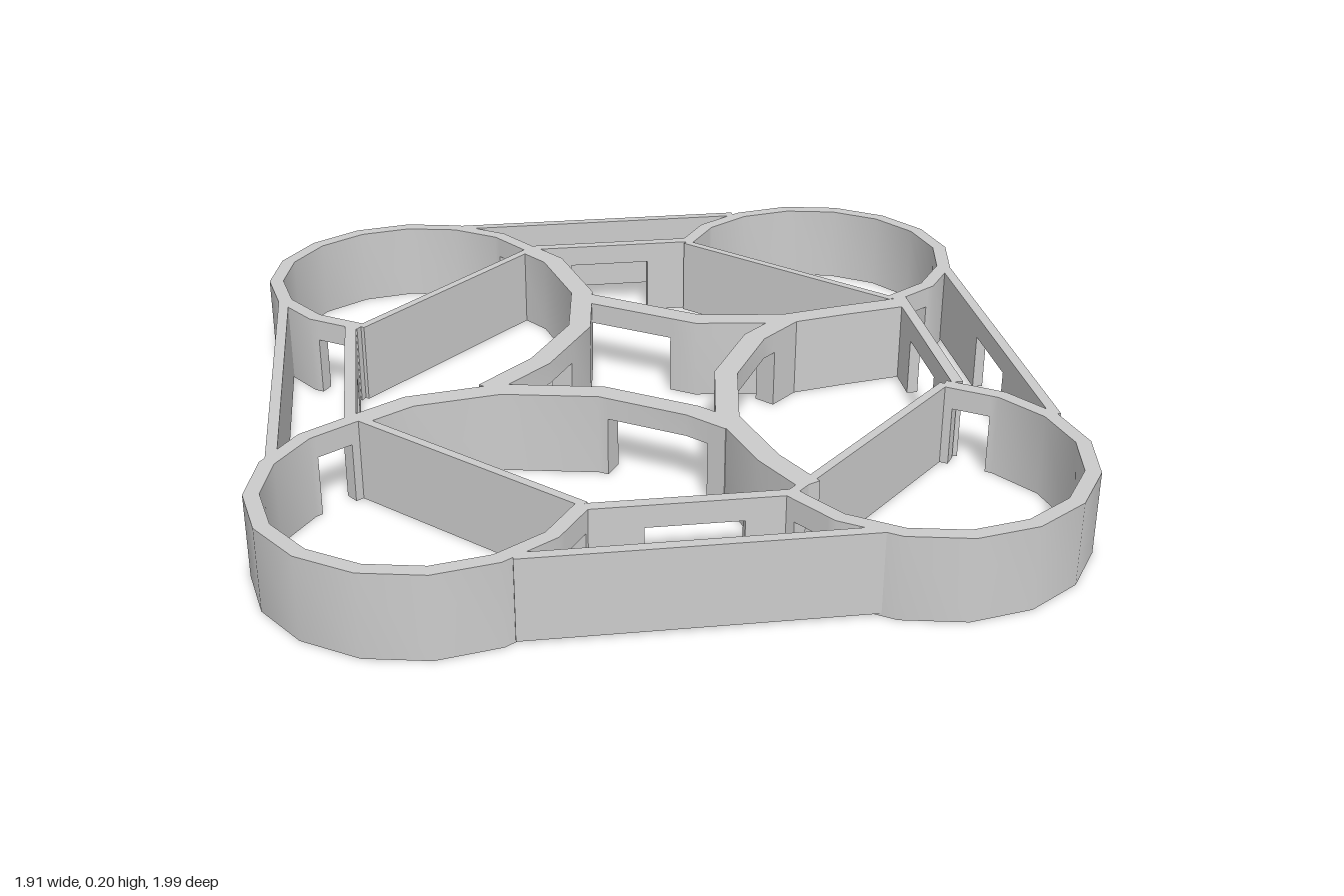
import * as THREE from 'three';
import { mergeGeometries, toCreasedNormals } from 'three/addons/utils/BufferGeometryUtils.js';

const HEIGHT = 0.205;
const NOTCH_TOP = 0.15;
const grey = new THREE.MeshStandardMaterial({ color: 0xcccccc });

// Offsets a plan polyline by d to one side with mitred corners
function offsetLine(pts, d) {
  return pts.map((p, i) => {
    const a = pts[Math.max(i - 1, 0)], b = pts[Math.min(i + 1, pts.length - 1)];
    const u = (i > 0 ? p.clone().sub(a) : b.clone().sub(p)).normalize();
    const v = (i < pts.length - 1 ? b.clone().sub(p) : p.clone().sub(a)).normalize();
    const n = new THREE.Vector2(-u.y - v.y, u.x + v.x).normalize();
    return p.clone().addScaledVector(n, d / (-n.x * u.y + n.y * u.x));
  });
}

// Splits a polyline where its x or z coordinate crosses the given value
function splitAt(pts, axis, value) {
  const out = [];
  pts.forEach((p, i) => {
    out.push(p);
    const q = pts[i + 1];
    if (q && (p[axis] - value) * (q[axis] - value) < 0) {
      out.push(p.clone().lerp(q, (value - p[axis]) / (q[axis] - p[axis])));
    }
  });
  return out;
}

// Upright wall along a plan path; segments for which isLow is true are cut out below
function wall(name, pts, thickness, isLow = () => false, bottom = 0) {
  const left = offsetLine(pts, thickness / 2), right = offsetLine(pts, -thickness / 2);
  const low = pts.slice(1).map((p, i) => isLow(p.clone().lerp(pts[i], 0.5), i));
  const runs = [];
  for (let i = 0; i < low.length;) {
    let j = i + 1;
    while (j < low.length && low[j] === low[i]) j++;
    const outline = [...left.slice(i, j + 1), ...right.slice(i, j + 1).reverse()];
    const y0 = low[i] ? NOTCH_TOP : bottom;
    const shape = new THREE.Shape(outline.map((p) => new THREE.Vector2(p.x, -p.y)));
    const geo = new THREE.ExtrudeGeometry(shape, { depth: HEIGHT - y0, bevelEnabled: false });
    runs.push(geo.rotateX(-Math.PI / 2).translate(0, y0, 0));
    i = j;
  }
  const mesh = new THREE.Mesh(toCreasedNormals(mergeGeometries(runs), 0.6), grey);
  mesh.name = name;
  return mesh;
}

// Wall with a central cable notch across the named plan axis
function notchedWall(name, pts, thickness, axis, bottom) {
  const split = splitAt(splitAt(pts, axis, -0.105), axis, 0.115);
  return wall(name, split, thickness, (m) => m[axis] > -0.105 && m[axis] < 0.115, bottom);
}

const path = (...xz) => xz.map(([x, z]) => new THREE.Vector2(x, z));

export function createModel() {
  const model = new THREE.Group();

  // Four open rings, each closed on the inside by a thin diagonal wall
  const rings = [
    ['BackRight', -0.56, -0.613], ['BackLeft', 0.567, -0.605],
    ['FrontLeft', 0.557, 0.605], ['FrontRight', -0.572, 0.593],
  ];
  for (const [name, x, z] of rings) {
    const outward = Math.atan2(Math.sign(z), Math.sign(x));
    const arc = [];
    for (let i = 0; i <= 10; i++) {
      const a = outward + (i - 5) * Math.PI / 8;
      arc.push(new THREE.Vector2(x + 0.368 * Math.cos(a), z + 0.368 * Math.sin(a)));
    }
    // small notches beside both ends of the arc
    const cut = (a, b, t) => a.clone().lerp(b, t);
    const pts = [arc[0], cut(arc[0], arc[1], 0.2), cut(arc[0], arc[1], 0.85), ...arc.slice(1, 10),
      cut(arc[10], arc[9], 0.85), cut(arc[10], arc[9], 0.2), arc[10]];
    model.add(wall('ring' + name, pts, 0.036, (m, i) => i === 1 || i === pts.length - 3));
    model.add(wall('diagonalWall' + name, [arc[0], arc[10]], 0.022));
  }

  // Outer side walls; only the left one is notched
  model.add(wall('outerWallBack', path([-0.4, -0.953], [0.4, -0.953]), 0.026, undefined, 0.006));
  model.add(wall('outerWallFront', path([-0.4, 0.928], [0.39, 0.928]), 0.026, undefined, 0.006));
  model.add(wall('outerWallRight', path([-0.904, -0.47], [-0.904, 0.45]), 0.026, undefined, 0.006));
  model.add(notchedWall('outerWallLeft', path([0.91, -0.47], [0.91, 0.46]), 0.026, 'y', 0.006));

  // Inner side walls, all notched
  model.add(notchedWall('innerWallBack', path([-0.22, -0.763], [0.23, -0.763]), 0.028, 'x'));
  model.add(notchedWall('innerWallFront', path([-0.23, 0.745], [0.22, 0.745]), 0.028, 'x'));
  model.add(notchedWall('innerWallRight', path([-0.728, -0.28], [-0.728, 0.26]), 0.028, 'y'));
  model.add(notchedWall('innerWallLeft', path([0.732, -0.27], [0.732, 0.26]), 0.028, 'y'));

  // Curved ribs forming a pinwheel around the middle
  model.add(notchedWall('ribBack', path([-0.23, -0.755], [-0.165, -0.66], [-0.11, -0.42],
    [-0.14, -0.2], [-0.26, 0], [-0.4, 0.135]), 0.056, 'y'));
  model.add(notchedWall('ribFront', path([0.265, 0.715], [0.2, 0.58], [0.145, 0.37],
    [0.185, 0.13], [0.295, -0.07], [0.41, -0.175]), 0.056, 'y'));
  model.add(notchedWall('ribLeft', path([0.73, -0.235], [0.56, -0.205], [0.4, -0.172],
    [0.17, -0.2], [-0.11, -0.385]), 0.056, 'x'));
  model.add(notchedWall('ribRight', path([-0.71, 0.262], [-0.59, 0.185], [-0.37, 0.148],
    [-0.13, 0.195], [0.07, 0.325], [0.15, 0.41]), 0.056, 'x'));

  return model;
}
